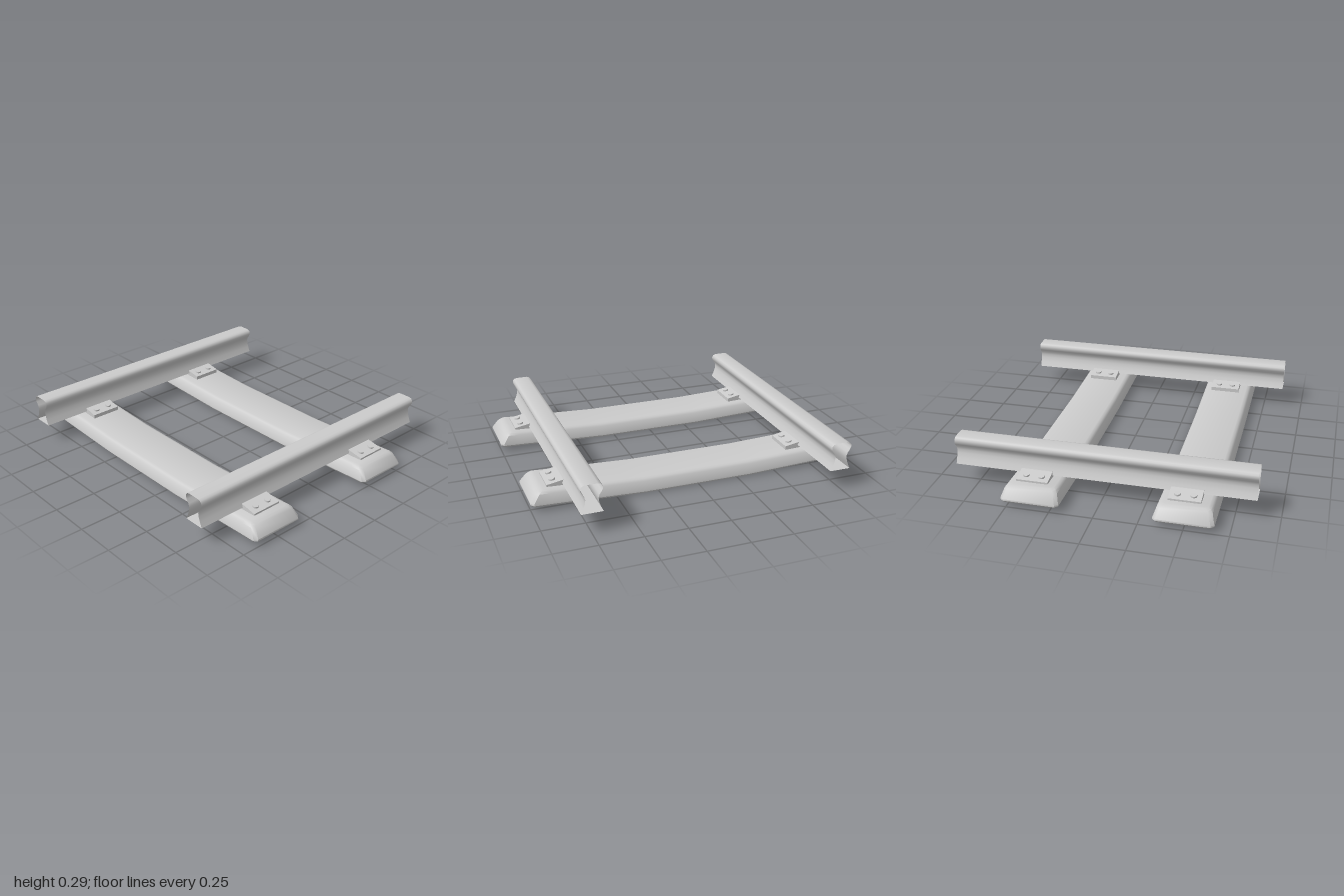
import * as THREE from 'three';
import { toCreasedNormals } from 'three/addons/utils/BufferGeometryUtils.js';

const grey = new THREE.MeshStandardMaterial({ color: 0xcccccc });
const greyOpen = new THREE.MeshStandardMaterial({ color: 0xcccccc, side: THREE.DoubleSide });

// Skin a row of closed rings; each ring runs counterclockwise seen from the far end.
function loft(rings, capped) {
  const n = rings[0].length;
  const last = (rings.length - 1) * n;
  const index = [];
  for (let i = 0; i < rings.length - 1; i++) {
    for (let j = 0; j < n; j++) {
      const a = i * n + j, b = i * n + (j + 1) % n;
      index.push(a, b, b + n, a, b + n, a + n);
    }
  }
  if (capped) {
    // Strips between mirrored points close each end
    for (let j = 0; j < n / 2 - 1; j++) {
      const k = n - 1 - j;
      index.push(j, k, k - 1, j, k - 1, j + 1);
      index.push(last + j, last + j + 1, last + k - 1, last + j, last + k - 1, last + k);
    }
  }
  const geo = new THREE.BufferGeometry();
  geo.setAttribute('position', new THREE.Float32BufferAttribute(rings.flat(2), 3));
  geo.setIndex(index);
  return toCreasedNormals(geo, 0.65);
}

// Turn a half outline (top to bottom) into a full symmetric one
const mirrored = (half, sign) => [
  ...half.map(([w, ...r]) => [sign * w, ...r]),
  ...half.slice().reverse().map(([w, ...r]) => [-sign * w, ...r]),
];

// Sleeper: half width, height, and how far its end reaches
function sleeperGeometry() {
  const half = [
    [0.125, 0.088, 0.935], [0.141, 0.082, 0.950], [0.152, 0.070, 0.965],
    [0.168, 0.022, 1.0], [0.169, 0.012, 1.0], [0.160, 0, 0.99],
  ];
  const outline = mirrored(half, 1);
  const lift = (x) => 0.025 * Math.max(0, (Math.abs(x) - 0.33) / 0.62);
  const ring = (x) => outline.map(([z, y]) => [x, y + lift(x), z]);
  // End rings slope back towards the top, the outermost one is pulled in
  const endRing = (s, back, inset) => outline.map(([z, y, reach]) =>
    [s * (reach - back), y + lift(0.95), z - Math.sign(z) * inset]);
  const rings = [endRing(-1, 0, 0.018), endRing(-1, 0.018, 0)];
  for (const x of [-0.88, -0.75, -0.6, -0.45, -0.33, 0, 0.33, 0.45, 0.6, 0.75, 0.88]) rings.push(ring(x));
  rings.push(endRing(1, 0.018, 0), endRing(1, 0, 0.018));
  return loft(rings, true);
}

// Rail: hollow strip with a wide head, narrow waist and flared foot
function railGeometry() {
  const half = [
    [0.036, 0.288], [0.052, 0.283], [0.061, 0.272], [0.0625, 0.258], [0.056, 0.242],
    [0.042, 0.222], [0.036, 0.203], [0.038, 0.182], [0.048, 0.152], [0.0625, 0.12],
  ];
  const outline = mirrored(half, -1);
  return loft([-0.868, 0.868].map((z) => outline.map(([x, y]) => [x, y, z])), false);
}

// Base plate: low ridge-topped slab under the rail
function plateGeometry() {
  const shape = new THREE.Shape([
    [-0.148, 0.098], [0.148, 0.098], [0.148, 0.122], [0.055, 0.139], [0, 0.146], [-0.055, 0.139], [-0.148, 0.122],
  ].map(([x, y]) => new THREE.Vector2(x, y)));
  const geo = new THREE.ExtrudeGeometry(shape, { depth: 0.184, bevelEnabled: false });
  return geo.translate(0, 0, -0.092);
}

export function createModel() {
  const model = new THREE.Group();
  const add = (parent, name, geo, x, y, z, mat = grey) => {
    const mesh = new THREE.Mesh(geo, mat);
    mesh.name = name;
    mesh.position.set(x, y, z);
    parent.add(mesh);
    return mesh;
  };

  const sleeper = sleeperGeometry();
  const rail = railGeometry();
  const plate = plateGeometry();
  const bolt = new THREE.CylinderGeometry(0.018, 0.02, 0.02, 16);

  for (const [name, z] of [['front', 0.497], ['back', -0.367]]) {
    add(model, name + 'Sleeper', sleeper, 0, 0, z);
    for (const side of [-1, 1]) {
      // Fastening: plate with four bolts tilted to its slopes
      const fastening = new THREE.Group();
      fastening.name = name + (side > 0 ? 'Left' : 'Right') + 'Fastening';
      fastening.position.set(side * 0.747, 0, z - 0.012);
      add(fastening, 'basePlate', plate, 0, 0, 0);
      for (const sx of [-1, 1]) {
        for (const sz of [-1, 1]) {
          add(fastening, 'bolt', bolt, sx * 0.105, 0.129, sz * 0.045).rotation.z = -sx * 0.18;
        }
      }
      model.add(fastening);
    }
  }

  add(model, 'leftRail', rail, 0.743, 0, 0, greyOpen);
  add(model, 'rightRail', rail, -0.743, 0, 0, greyOpen);
  return model;
}
